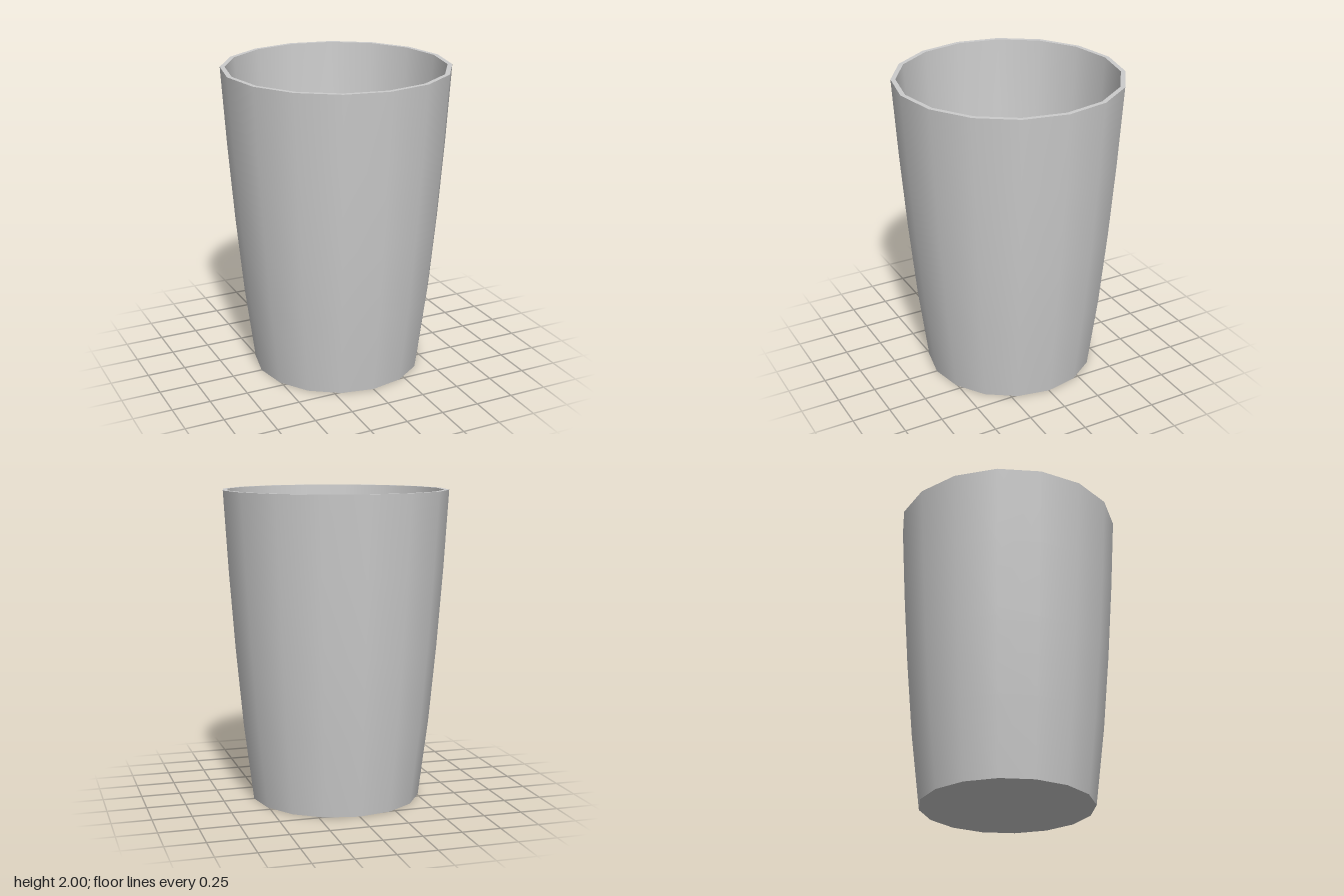
import * as THREE from 'three';

const SIDES = 16;
const material = new THREE.MeshStandardMaterial({ color: 0xcccccc });

// Turns a profile of [radius, height] points into one smooth surface.
function turned(name, points) {
  const profile = points.map(([r, y]) => new THREE.Vector2(r, y));
  const mesh = new THREE.Mesh(new THREE.LatheGeometry(profile, SIDES), material);
  mesh.name = name;
  return mesh;
}

export function createModel() {
  const cup = new THREE.Group();
  cup.name = 'cup';

  // Walls flare quickly at the base, then straighten towards the rim
  const outer = [[0.55, 0], [0.612, 0.5], [0.658, 1], [0.695, 1.5], [0.725, 2]];
  const inner = [[0.695, 2], [0.665, 1.5], [0.628, 1], [0.578, 0.5], [0.5, 0.05]];

  // Separate surfaces keep the rim and floor edges sharp
  cup.add(
    turned('underside', [[0, 0], outer[0]]),
    turned('outerWall', outer),
    turned('rim', [outer[4], inner[0]]),
    turned('innerWall', inner),
    turned('innerFloor', [inner[4], [0, 0.05]])
  );
  return cup;
}
